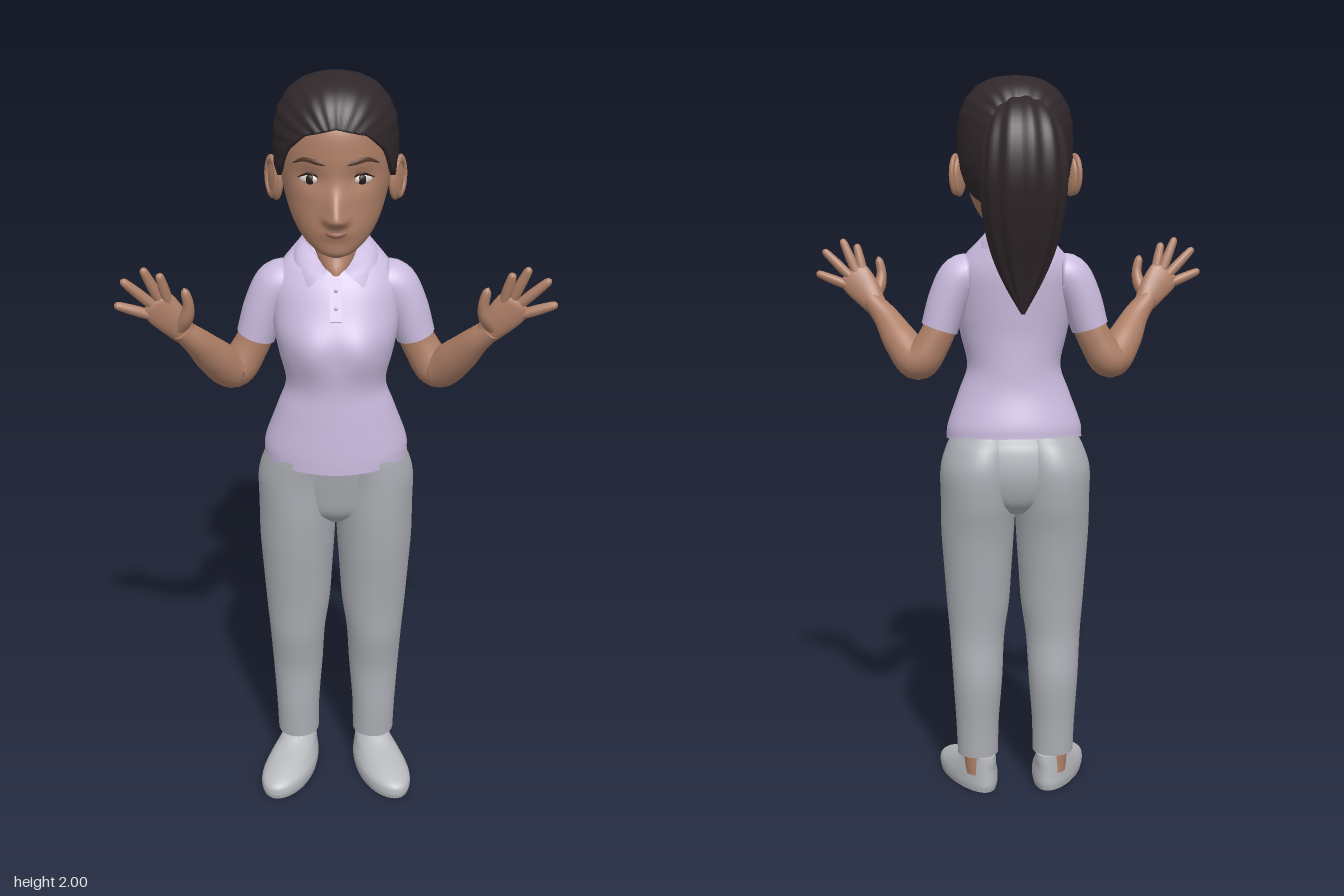
import * as THREE from 'three';

const paint = (name, color) => Object.assign(new THREE.MeshStandardMaterial({ color }), { name });
const skin = paint('skin', 0xae7f67), hair = paint('hair', 0x30272a), shirt = paint('shirt', 0xcabbde);
const trousers = paint('trousers', 0xadafb5), shoe = paint('shoe', 0xb6b8bc), red = paint('hair tie red', 0x7c1d1d);
const lip = paint('lip', 0x955c50), white = paint('eye white', 0xd9cfc8), dark = paint('iris', 0x2b1a14), brow = paint('brow', 0x5a3c2f);
shirt.side = hair.side = THREE.DoubleSide;

const V = (x, y, z) => new THREE.Vector3(x, y, z);
const bump = (d, w) => Math.exp(-(d * d) / (w * w));

// Grid of points f(i, j), rows going up and columns going round; optional end caps
function grid(rows, cols, closed, f, caps = false) {
  const pos = [], idx = [], w = closed ? cols : cols + 1;
  const push = p => pos.push(p.x, p.y, p.z) / 3 - 1;
  for (let i = 0; i <= rows; i++) for (let j = 0; j < w; j++) push(f(i / rows, j / cols));
  for (let i = 0; i < rows; i++) for (let j = 0; j < cols; j++) {
    const a = i * w + j, b = i * w + (j + 1) % w;
    idx.push(a, b, a + w, b, b + w, a + w);
  }
  if (caps) for (const end of [0, 1]) {
    const ring = [], mid = V(0, 0, 0);
    for (let j = 0; j < w; j++) { const p = f(end, j / cols); mid.addScaledVector(p, 1 / w); ring.push(push(p)); }
    const c = push(mid);
    ring.forEach((r, j) => { const n = ring[(j + 1) % w]; end ? idx.push(c, r, n) : idx.push(c, n, r); });
  }
  const g = new THREE.BufferGeometry();
  g.setAttribute('position', new THREE.Float32BufferAttribute(pos, 3));
  g.setIndex(idx);
  g.computeVertexNormals();
  return g;
}

// Smooth body through rows [x, y, z, radiusA, radiusB]; A lies along "side"
function loft(rows, { n = 32, steps = 6, side = V(1, 0, 0), level = false, ridge = 0, deform } = {}) {
  const path = new THREE.CatmullRomCurve3(rows.map(r => V(r[0], r[1], r[2])), false, 'catmullrom');
  const size = new THREE.CatmullRomCurve3(rows.map(r => V(r[3], r[4], 0)), false, 'catmullrom');
  return grid((rows.length - 1) * steps, n, true, (t, k) => {
    const T = level ? V(0, 1, 0) : path.getTangent(t), r = size.getPoint(t), a = k * Math.PI * 2;
    const u = side.clone().addScaledVector(T, -T.dot(side)).normalize(), v = T.clone().cross(u);
    const m = 1 + ridge * Math.cos(a * 11);
    const p = path.getPoint(t).addScaledVector(u, Math.max(r.x, 0.0005) * Math.cos(a) * m)
      .addScaledVector(v, Math.max(r.y, 0.0005) * Math.sin(a) * m);
    if (deform) deform(p);
    return p;
  }, true);
}

export function createModel() {
  const model = new THREE.Group();
  model.name = 'woman';
  const add = (name, geo, mat, parent = model) => {
    const m = new THREE.Mesh(geo, mat);
    m.name = name;
    parent.add(m);
    return m;
  };
  const ball = (name, mat, p, s, ry = 0) => {
    const m = add(name, new THREE.SphereGeometry(1, 24, 16), mat);
    m.position.set(...p); m.scale.set(...s); m.rotation.y = ry;
    return m;
  };
  const body = rows => rows.map(([y, z, rx, rz]) => [0, y, z, rx, rz]);

  // Polo shirt: tilted hem, bust and lowered neckline
  add('shirt', loft(body([[1.018, .11, .189, .14], [1.06, .112, .185, .138], [1.15, .12, .153, .125], [1.22, .121, .13, .121],
    [1.30, .125, .146, .124], [1.36, .121, .158, .125], [1.42, .106, .163, .116], [1.48, .09, .163, .104],
    [1.53, .077, .135, .087], [1.57, .075, .09, .072], [1.59, .075, .068, .064]]), {
    n: 64, level: true, deform: p => {
      if (p.z > .1) p.z += .014 * bump(Math.abs(p.x) - .065, .045) * bump(p.y - 1.33, .06);
      p.y -= .125 * (p.z - .11) * Math.max(0, 1 - (p.y - 1.018) / .15);
      p.y -= .8 * (p.z - .075) * THREE.MathUtils.smoothstep(p.y, 1.52, 1.59);
    }
  }), shirt);
  add('collar', grid(4, 60, false, (t, k) => {
    const gap = THREE.MathUtils.lerp(.62, .12, t), a = gap + k * (Math.PI * 2 - 2 * gap);
    const w = ((1 + Math.cos(a)) / 2) ** 2, puff = .008 * Math.sin(t * Math.PI);
    const L = (lo, hi) => THREE.MathUtils.lerp(lo, hi, t) + puff;
    return V(Math.sin(a) * L(.115, .067), L(1.55 - .075 * w, 1.60 - .07 * w), .074 + Math.cos(a) * L(.097, .073) + .036 * w * (1 - t));
  }), shirt);
  const placket = add('placket', new THREE.BoxGeometry(.03, .11, .008), shirt);
  placket.position.set(0, 1.463, .204); placket.rotation.x = -.5;
  for (const y of [1.485, 1.445]) ball('button', shirt, [0, y, .21 - (y - 1.463) * .55], [.005, .005, .004]);

  // Neck
  add('neck', loft(body([[1.47, .09, .03, .08], [1.52, .09, .042, .083], [1.56, .08, .056, .077], [1.60, .08, .055, .07],
    [1.68, .085, .058, .07]]), { level: true }), skin);

  // Head with nose, lips and eye sockets pushed out of the front
  add('head', loft(body([[1.577, .2, .018, .02], [1.59, .19, .048, .05], [1.62, .165, .082, .08], [1.66, .13, .108, .119],
    [1.71, .10, .126, .146], [1.77, .085, .138, .157], [1.83, .08, .143, .163], [1.89, .08, .138, .156],
    [1.94, .08, .115, .125], [1.975, .08, .06, .07], [1.985, .08, .002, .002]]), {
    n: 96, steps: 8, level: true, deform: p => {
      if (p.z < .12) return;
      const ax = Math.abs(p.x);
      p.z += .04 * bump(ax, .02) * bump(p.y - 1.683, p.y > 1.683 ? .05 : .018);
      p.z += .012 * bump(ax - .02, .012) * bump(p.y - 1.68, .014);
      p.z -= .012 * bump(ax - .062, .032) * bump(p.y - 1.775, .024);
      p.z += .006 * bump(ax, .04) * bump(p.y - 1.645, .016);
    }
  }), skin);
  add('lips', loft([[-.04, 1.654, .234, .002, .002], [-.02, 1.646, .246, .006, .006], [0, 1.643, .251, .009, .007],
    [.02, 1.646, .246, .006, .006], [.04, 1.654, .234, .002, .002]], { n: 12, side: V(0, 1, 0) }), lip);

  // Hair cap: starts at the hairline and runs to the crown, with grooves towards the tie
  const line = [[0, 1.895], [.5, 1.877], [.85, 1.835], [1.12, 1.775], [1.32, 1.755], [1.5, 1.79], [1.65, 1.77], [1.85, 1.685], [2.2, 1.665], [3.15, 1.658]];
  const hairline = a => {
    const i = line.findIndex(q => q[0] >= a) || 1, [a0, y0] = line[i - 1], [a1, y1] = line[i];
    return THREE.MathUtils.lerp(y0, y1, (a - a0) / (a1 - a0));
  };
  add('hairCap', grid(40, 160, true, (t, k) => {
    const a = k * Math.PI * 2, dy = hairline(Math.min(a, Math.PI * 2 - a)) - 1.83;
    const start = Math.sign(dy) * Math.asin((Math.abs(dy) / (dy > 0 ? .17 : .2)) ** 1.25);
    const th = THREE.MathUtils.lerp(start, Math.PI / 2, Math.max(0, (t - .025) / .975)), s = Math.sin(th);
    const y = 1.83 + (s > 0 ? .17 : -.2) * Math.abs(s) ** .8;
    let f = Math.max(0, Math.cos(th)) ** .8 * (t === 0 ? .92 : 1);
    const x = .155 * f * Math.sin(a);
    f *= 1 + .009 * Math.sin(Math.atan2(x, y - 1.84) * 22) * Math.min(1, f * 2);
    return V(.155 * f * Math.sin(a), y, .075 + .168 * f * Math.cos(a));
  }), hair);

  // Ponytail and tie
  add('ponytail', loft([[0, 1.875, -.06, .04, .04], [0, 1.885, -.12, .046, .042], [0, 1.882, -.17, .075, .056],
    [0, 1.83, -.205, .1, .068], [0, 1.74, -.214, .108, .07], [0, 1.64, -.192, .1, .068], [0, 1.55, -.172, .08, .058],
    [0, 1.47, -.168, .048, .036], [0, 1.39, -.175, .004, .004]], { n: 88, ridge: .045 }), hair);
  const tie = add('hairTie', new THREE.TorusGeometry(.04, .017, 16, 40), red);
  tie.position.set(0, 1.877, -.093); tie.rotation.x = .12; tie.scale.z = 1.3;

  // Hips
  add('hips', loft(body([[.82, .08, .04, .08], [.86, .08, .15, .115], [.93, .08, .2, .132], [1.0, .092, .187, .134], [1.035, .105, .168, .125]]),
    { n: 48, level: true }), trousers);

  for (const s of [1, -1]) {
    const side = s > 0 ? 'left' : 'right';
    const flip = rows => rows.map(([x, ...r]) => [x * s, ...r]);
    const limb = (name, rows, mat, opt) => add(side + name, loft(flip(rows), opt), mat);

    // Face details
    ball(side + 'Eye', white, [.064 * s, 1.772, .211], [.025, .0135, .013], .4 * s);
    ball(side + 'Iris', dark, [.063 * s, 1.772, .2205], [.0115, .0115, .005], .3 * s);
    limb('Eyelid', [[.036, 1.772, .222, .001, .001], [.05, 1.784, .224, .003, .003], [.068, 1.787, .221, .003, .003],
      [.092, 1.775, .203, .001, .001]], dark, { n: 8, side: V(0, 1, 0) });
    limb('Brow', [[.026, 1.811, .238, .003, .002], [.05, 1.818, .234, .006, .003], [.078, 1.821, .218, .005, .003],
      [.103, 1.808, .194, .002, .001]], brow, { n: 10, side: V(0, 1, 0) });
    ball(side + 'Ear', skin, [.15 * s, 1.737, .072], [.014, .054, .032], -.5 * s);
    const rim = add(side + 'EarRim', new THREE.TorusGeometry(.026, .007, 10, 28), skin);
    rim.position.set(.16 * s, 1.742, .068); rim.rotation.y = (Math.PI / 2 - .5) * s; rim.scale.set(1, 1.7, 1);

    // Sleeve, arm and hand
    limb('Sleeve', [[.10, 1.475, .08, .05, .06], [.145, 1.468, .08, .06, .066], [.18, 1.41, .08, .056, .064], [.207, 1.328, .08, .051, .06]],
      shirt, { side: V(s, 0, 0) });
    limb('Arm', [[.185, 1.38, .08, .04, .044], [.222, 1.295, .077, .044, .047], [.266, 1.237, .088, .052, .052],
      [.312, 1.287, .138, .049, .048], [.35, 1.345, .185, .038, .036], [.39, 1.392, .216, .031, .027]], skin, { side: V(0, 0, 1), steps: 8 });
    limb('Palm', [[.38, 1.38, .21, .031, .026], [.405, 1.415, .222, .041, .023], [.43, 1.447, .23, .046, .019],
      [.445, 1.468, .235, .041, .014], [.45, 1.475, .236, .012, .004]], skin, { side: V(.76 * s, -.65, 0) });
    const fingers = [[.414, 1.468, .432, 1.548], [.434, 1.472, .472, 1.562], [.452, 1.46, .525, 1.532], [.46, 1.435, .545, 1.468]];
    for (const [x0, y0, x1, y1] of fingers) {
      const at = (t, r) => [x0 + (x1 - x0) * t, y0 + (y1 - y0) * t, .232 + .02 * t, r, r];
      limb('Finger', [at(-.1, .013), at(.35, .0135), at(.7, .012), at(.93, .0095), at(1, .002)], skin, { n: 14, steps: 4, side: V(0, 0, 1) });
    }
    limb('Thumb', [[.39, 1.395, .22, .02, .018], [.37, 1.43, .24, .02, .018], [.363, 1.465, .25, .014, .014],
      [.369, 1.50, .255, .011, .011], [.372, 1.512, .256, .002, .002]], skin, { n: 14, steps: 5, side: V(0, 0, 1) });

    // Trouser leg, ankle and shoe
    limb('Leg', [[.108, .105, .07, .058, .06], [.109, .2, .07, .061, .066], [.108, .33, .066, .07, .075], [.108, .45, .082, .077, .083],
      [.105, .55, .084, .088, .092], [.105, .65, .085, .095, .105], [.105, .757, .085, .102, .12], [.103, .85, .08, .105, .135],
      [.1, .94, .079, .108, .141], [.09, 1.0, .09, .1, .136], [.08, 1.035, .105, .09, .125]], trousers, { n: 40, level: true });
    limb('Ankle', [[.108, .05, .062, .038, .045], [.108, .13, .066, .042, .046]], skin, { level: true, n: 24 });
    limb('Shoe', [[.11, 0, .145, .066, .136], [.11, .018, .145, .07, .14], [.11, .04, .141, .069, .135], [.11, .062, .118, .061, .111],
      [.108, .084, .085, .052, .077], [.108, .102, .068, .046, .058]], shoe, {
      n: 48, level: true, deform: p => {
        p.x = .11 * s + (p.x - .11 * s) * (1 + (p.z - .145) * .8) + s * (p.z - .08) * .28;
      }
    });
    for (const [y, z] of [[.094, .128], [.083, .158], [.074, .183]]) {
      const lace = ball(side + 'Lace', shoe, [(.11 + (z - .08) * .28) * s, y - .006, z], [.03, .006, .006], .25 * s);
      lace.rotation.z = .1 * s;
    }
  }
  return model;
}
